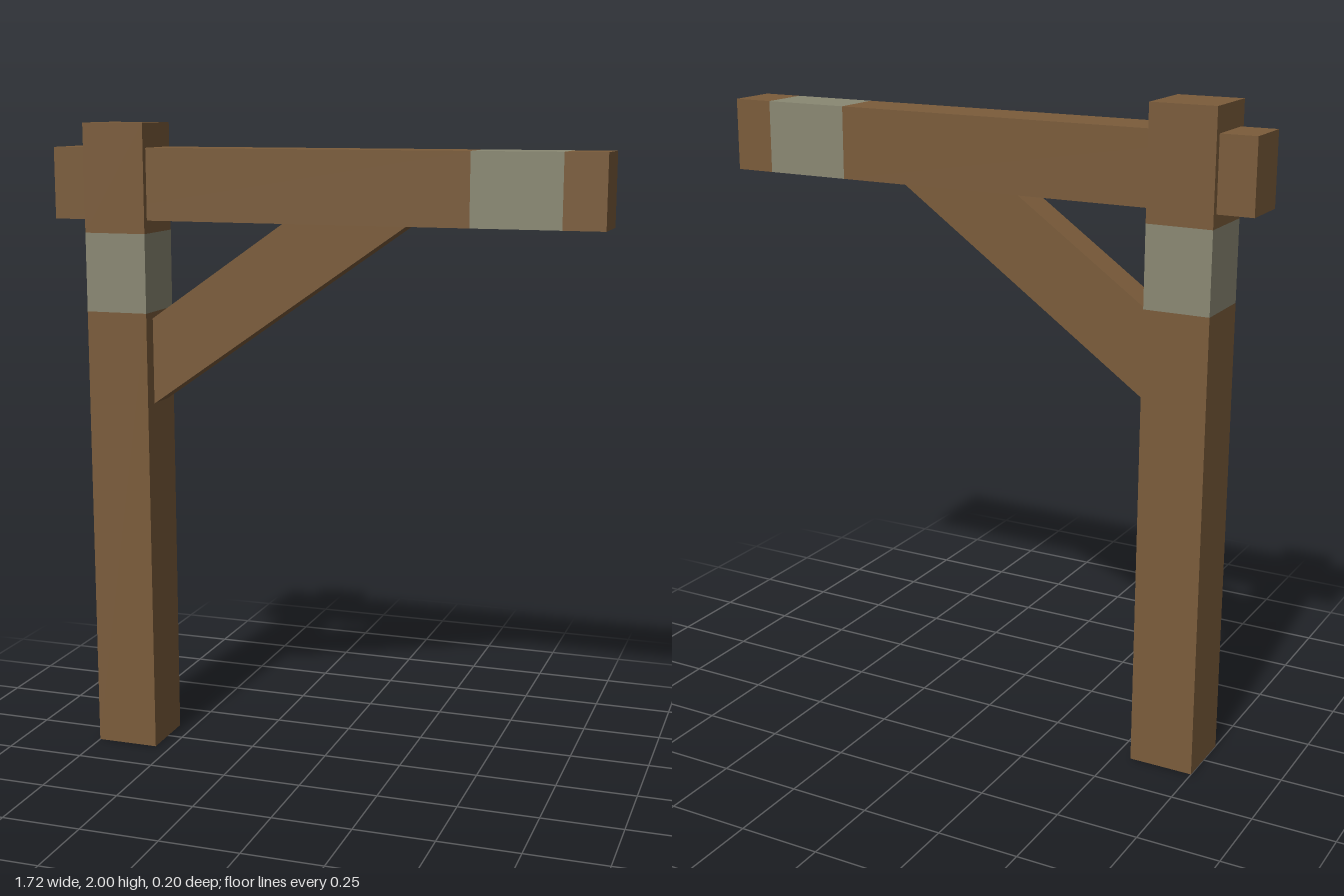
import * as THREE from 'three';

const wood = new THREE.MeshStandardMaterial({ color: 0x7b5c3b, side: THREE.DoubleSide });
wood.name = 'brownWood';
const grey = new THREE.MeshStandardMaterial({ color: 0x8a8873, side: THREE.DoubleSide });
grey.name = 'greyBand';

const FACES = ['+x', '-x', '+y', '-y', '+z', '-z'];

// Box between two corners, leaving out the listed faces
function timber(name, material, min, max, open) {
  const size = max.map((v, i) => v - min[i]);
  const geometry = new THREE.BoxGeometry(...size);
  const all = Array.from(geometry.index.array);
  const kept = FACES.flatMap((f, i) => (open.includes(f) ? [] : all.slice(i * 6, i * 6 + 6)));
  geometry.setIndex(kept);
  geometry.clearGroups();
  geometry.translate(...max.map((v, i) => (v + min[i]) / 2));
  const mesh = new THREE.Mesh(geometry, material);
  mesh.name = name;
  return mesh;
}

export function createModel() {
  const model = new THREE.Group();
  model.name = 'signPost';

  // Upright post, hollow at the foot, with a grey band
  const post = new THREE.Group();
  post.name = 'post';
  const postPart = (name, mat, y0, y1, open) =>
    post.add(timber(name, mat, [-0.75, y0, -0.1], [-0.55, y1, 0.1], open));
  postPart('postLower', wood, 0, 1.42, ['+y', '-y']);
  postPart('postBand', grey, 1.42, 1.665, ['+y', '-y']);
  postPart('postTop', wood, 1.665, 2, ['-y']);
  model.add(post);

  // Crossbeam through the post, with a grey band near its free end
  const beam = new THREE.Group();
  beam.name = 'beam';
  const beamPart = (name, mat, x0, x1, open) =>
    beam.add(timber(name, mat, [x0, 1.705, -0.08], [x1, 1.925, 0.08], open));
  beamPart('beamMain', wood, -0.86, 0.465, ['+x']);
  beamPart('beamBand', grey, 0.465, 0.735, ['+x', '-x']);
  beamPart('beamTip', wood, 0.735, 0.86, ['-x']);
  model.add(beam);

  // Diagonal brace, cut flush against post and beam
  const outline = new THREE.Shape([
    new THREE.Vector2(-0.55, 1.13),
    new THREE.Vector2(0.27, 1.705),
    new THREE.Vector2(-0.115, 1.705),
    new THREE.Vector2(-0.55, 1.4),
  ]);
  const braceGeometry = new THREE.ExtrudeGeometry(outline, { depth: 0.104, bevelEnabled: false });
  braceGeometry.translate(0, 0, -0.052);
  const brace = new THREE.Mesh(braceGeometry, wood);
  brace.name = 'brace';
  model.add(brace);

  return model;
}
